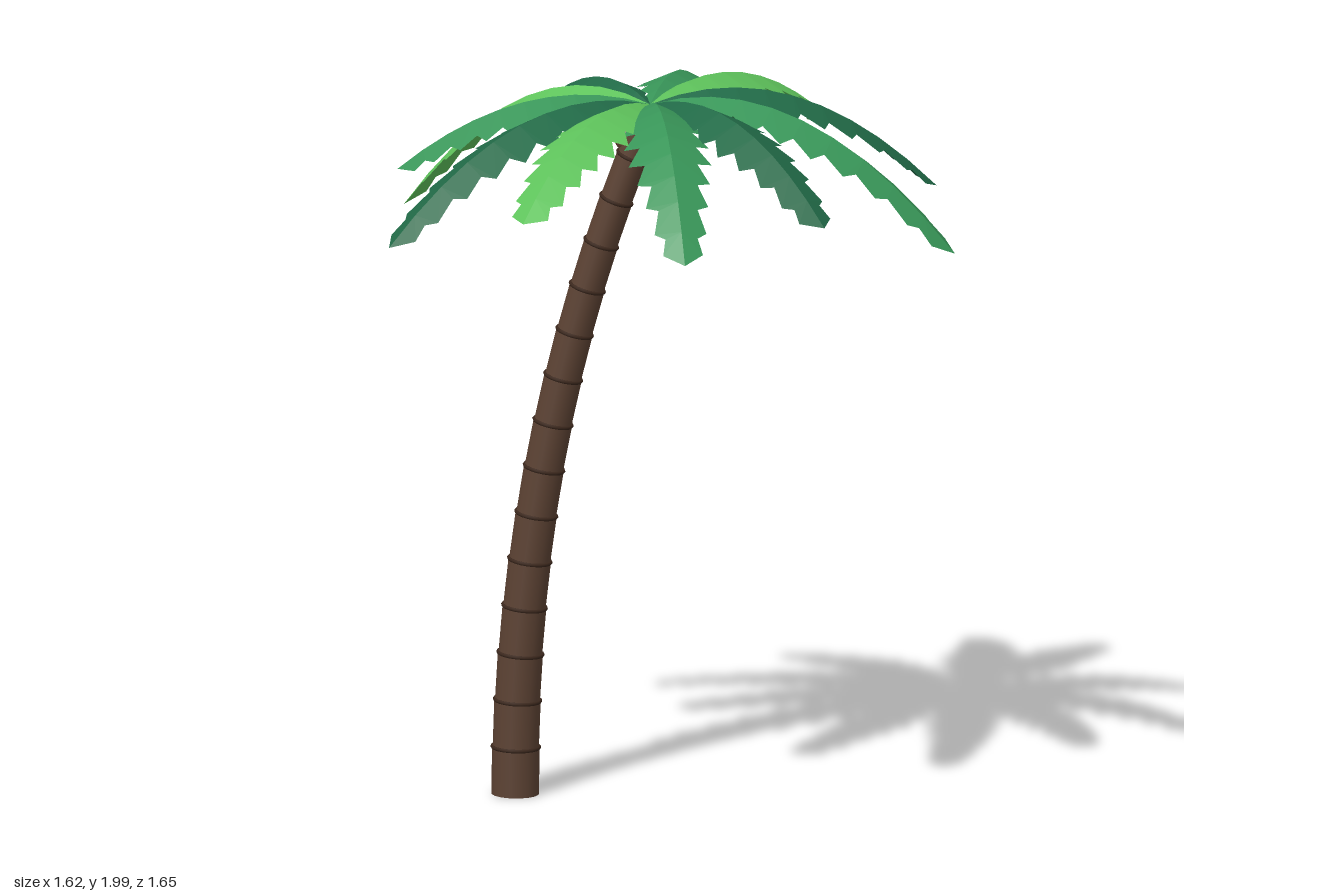
import * as THREE from 'three';

const mat = (name, color, extra = {}) => {
  const m = new THREE.MeshStandardMaterial({ color, ...extra });
  m.name = name;
  return m;
};

const UP = new THREE.Vector3(0, 1, 0);
const CROWN = new THREE.Vector3(-0.075, 1.955, 0.055);

// One folded, saw-toothed leaf arching from the crown to its tip
function frondGeometry(tip) {
  const flat = new THREE.Vector3(tip.x - CROWN.x, 0, tip.z - CROWN.z);
  const length = flat.length();
  const dir = flat.clone().normalize();
  const side = new THREE.Vector3().crossVectors(dir, UP);
  const rise = 0.035;
  const root = (Math.sqrt(rise) + Math.sqrt(rise + CROWN.y - tip.y)) / length;
  const slope = 2 * Math.sqrt(rise) * root;
  const width = t => 0.118 * Math.min(1, 0.06 + t / 0.36) * (t > 0.55 ? 1 - 0.55 * (t - 0.55) / 0.45 : 1);

  // t runs along the rib, w is the signed distance from it
  const at = (t, w) => {
    const s = t * length;
    const p = CROWN.clone().addScaledVector(dir, s).addScaledVector(side, w);
    p.y += slope * s - root * root * s * s - 0.45 * Math.abs(w);
    return p;
  };

  const teeth = 10;
  const pos = [];
  const tri = (a, b, c, flip) => {
    for (const p of flip ? [a, c, b] : [a, b, c]) pos.push(p.x, p.y, p.z);
  };
  for (const sign of [1, -1]) {
    for (let i = 0; i < teeth; i++) {
      const t0 = i / teeth, t1 = (i + 1) / teeth;
      const tt = t0 + (i === teeth - 1 ? 0.45 : 0.72) / teeth;
      const rib0 = at(t0, 0), rib1 = at(t1, 0);
      const in0 = at(t0, sign * (i ? 0.66 : 0.1) * width(t0));
      const in1 = at(t1, i === teeth - 1 ? 0 : sign * 0.66 * width(t1));
      const tooth = at(tt, sign * width(tt) * (i === teeth - 1 ? 0.9 : 1));
      const flip = sign > 0;
      tri(rib0, tooth, in0, !flip);
      tri(rib0, rib1, tooth, !flip);
      if (i < teeth - 1) tri(rib1, in1, tooth, !flip);
    }
  }
  const g = new THREE.BufferGeometry();
  g.setAttribute('position', new THREE.Float32BufferAttribute(pos, 3));
  g.computeVertexNormals();
  return g;
}

export function createModel() {
  const model = new THREE.Group();
  model.name = 'palmTree';

  const bark = mat('bark', 0x5c4233);
  const ringBark = mat('dark bark', 0x3c281d);
  const shell = mat('coconut shell', 0x6a4636);
  const leaf = { side: THREE.DoubleSide, flatShading: true };
  const light = mat('light leaf', 0x5fc45c, leaf);
  const mid = mat('mid leaf', 0x389558, leaf);
  const dark = mat('dark leaf', 0x216a47, leaf);

  // Leaning trunk of stacked, slightly flared segments with dark rings
  const trunk = new THREE.Group();
  trunk.name = 'trunk';
  model.add(trunk);
  const spine = new THREE.QuadraticBezierCurve3(
    new THREE.Vector3(-0.455, 0, 0.055),
    new THREE.Vector3(-0.455, 1.02, 0.055),
    new THREE.Vector3(-0.075, 1.93, 0.055)
  );
  const segments = 15;
  const radius = u => 0.067 - 0.025 * u;
  for (let i = 0; i < segments; i++) {
    const u0 = i / segments, u1 = (i + 1) / segments;
    const a = spine.getPointAt(u0), b = spine.getPointAt(u1);
    const axis = b.clone().sub(a);
    const len = axis.length();
    const segment = new THREE.Mesh(
      new THREE.CylinderGeometry(radius(u1) + 0.001, radius(u0) - 0.001, len + (i ? 0.006 : 0), 16), bark);
    segment.name = 'trunkSegment';
    segment.position.copy(a).add(b).multiplyScalar(0.5);
    segment.quaternion.setFromUnitVectors(UP, axis.normalize());
    trunk.add(segment);
    if (i === segments - 1) continue;
    const ring = new THREE.Mesh(new THREE.TorusGeometry(radius(u1) - 0.001, 0.0055, 6, 20), ringBark);
    ring.name = 'trunkRing';
    ring.position.copy(b);
    ring.quaternion.setFromUnitVectors(new THREE.Vector3(0, 0, 1), spine.getTangentAt(u1));
    trunk.add(ring);
  }

  // Three coconuts under the crown
  for (const deg of [70, 190, 310]) {
    const a = deg * Math.PI / 180;
    const nut = new THREE.Mesh(new THREE.SphereGeometry(0.041, 16, 12), shell);
    nut.name = 'coconut';
    nut.position.set(CROWN.x + 0.063 * Math.cos(a), 1.857, CROWN.z + 0.063 * Math.sin(a));
    model.add(nut);
  }

  // Fronds, each given by its tip
  const fronds = [
    [-0.075, 1.665, -0.83, mid],
    [0.25, 1.745, -0.757, light],
    [0.64, 1.68, -0.335, dark],
    [0.806, 1.6, 0.145, mid],
    [0.524, 1.735, 0.507, dark],
    [0.2, 1.675, 0.797, mid],
    [-0.25, 1.775, 0.825, light],
    [-0.648, 1.67, 0.74, dark],
    [-0.722, 1.8, 0.33, mid],
    [-0.81, 1.6, -0.118, light],
    [-0.573, 1.72, -0.44, dark]
  ];
  for (const [x, y, z, material] of fronds) {
    const frond = new THREE.Mesh(frondGeometry(new THREE.Vector3(x, y, z)), material);
    frond.name = 'frond';
    model.add(frond);
  }
  return model;
}
